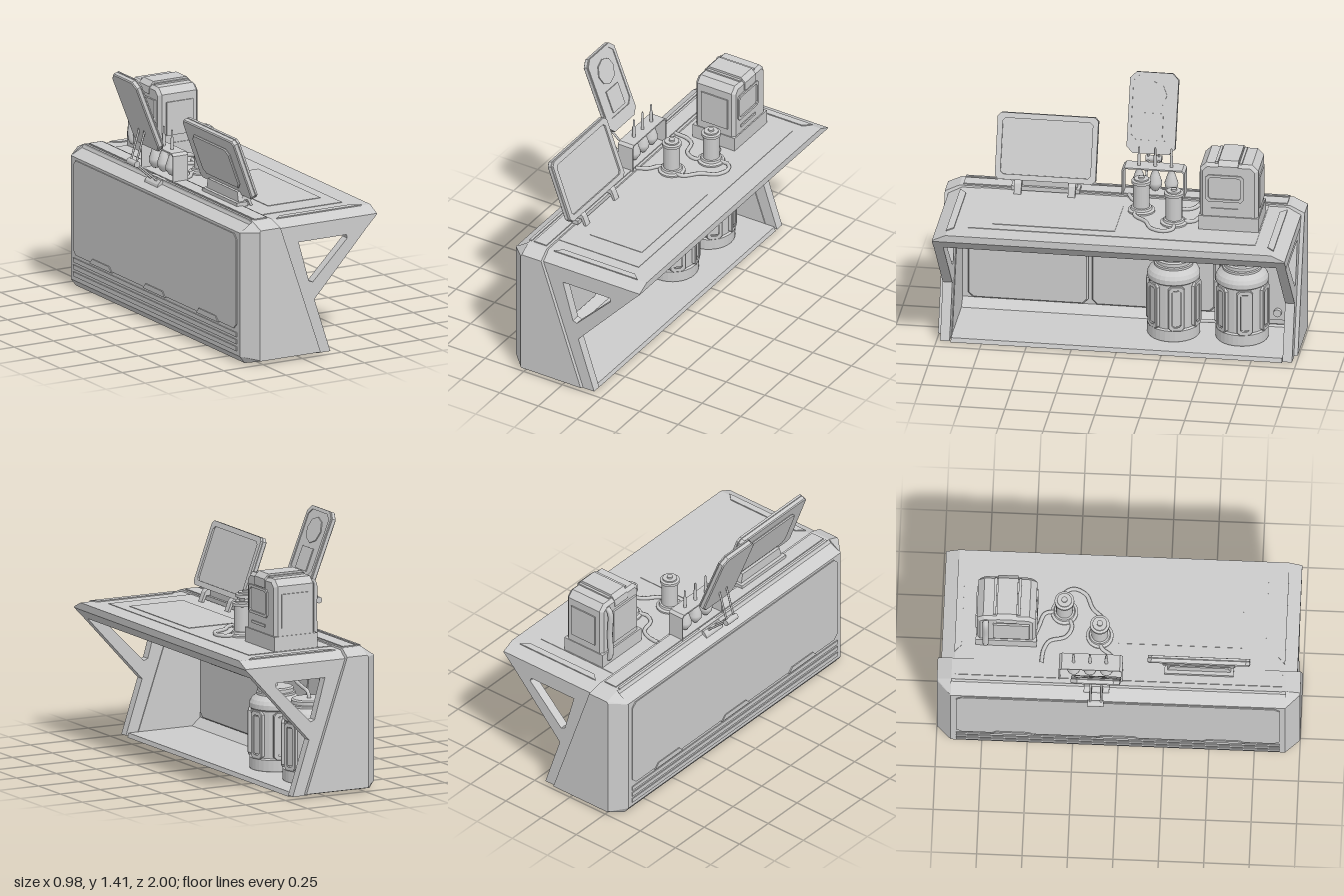
import * as THREE from 'three';

const mat = new THREE.MeshStandardMaterial({ color: 0xcccccc, side: THREE.DoubleSide });
const flat = new THREE.MeshStandardMaterial({ color: 0xcccccc, flatShading: true, side: THREE.DoubleSide });

function add(parent, name, geo, m = flat) {
  const mesh = new THREE.Mesh(geo, m);
  mesh.name = name;
  parent.add(mesh);
  return mesh;
}
function group(parent, name, x = 0, y = 0, z = 0) {
  const g = new THREE.Group();
  g.name = name;
  g.position.set(x, y, z);
  parent.add(g);
  return g;
}
const box = (x0, x1, y0, y1, z0, z1) =>
  new THREE.BoxGeometry(x1 - x0, y1 - y0, z1 - z0).translate((x0 + x1) / 2, (y0 + y1) / 2, (z0 + z1) / 2);
const toShape = (pts, holes = []) => {
  const s = new THREE.Shape(pts.map(p => new THREE.Vector2(...p)));
  s.holes = holes.map(h => new THREE.Path(h.map(p => new THREE.Vector2(...p))));
  return s;
};
// outline in (x, y), extruded along z
const prismZ = (pts, z0, z1, holes) =>
  new THREE.ExtrudeGeometry(toShape(pts, holes), { depth: z1 - z0, bevelEnabled: false }).translate(0, 0, z0);
// outline in (z, y), extruded along x with an optional chamfer
const prismX = (pts, x0, x1, holes = [], bevel = 0) => {
  const flip = l => l.map(([z, y]) => [-z, y]);
  return new THREE.ExtrudeGeometry(toShape(flip(pts), holes.map(flip)), {
    depth: x1 - x0 - 2 * bevel, bevelEnabled: bevel > 0, bevelSize: bevel, bevelOffset: -bevel,
    bevelThickness: bevel, bevelSegments: 1,
  }).rotateY(Math.PI / 2).translate(x0 + bevel, 0, 0);
};
// rectangle with cut corners
const cutRect = (a0, a1, b0, b1, c) => [[a0 + c, b0], [a1 - c, b0], [a1, b0 + c], [a1, b1 - c],
  [a1 - c, b1], [a0 + c, b1], [a0, b1 - c], [a0, b0 + c]];
// solid between two matching counter-clockwise outlines, z0 < z1
function loft(a, z0, b, z1) {
  const pos = [], n = a.length;
  const tri = (...v) => v.forEach(p => pos.push(...p));
  const A = a.map(p => [...p, z0]), B = b.map(p => [...p, z1]);
  for (let i = 0; i < n; i++) {
    const j = (i + 1) % n;
    tri(A[i], A[j], B[j], A[i], B[j], B[i]);
    if (i > 0 && i < n - 1) tri(A[0], A[i + 1], A[i], B[0], B[i], B[i + 1]);
  }
  const g = new THREE.BufferGeometry();
  g.setAttribute('position', new THREE.Float32BufferAttribute(pos, 3));
  g.computeVertexNormals();
  return g;
}
const mirrorLoft = (s, a, z0, b, z1) => s > 0 ? loft(a, z0, b, z1) : loft(b, -z1, a, -z0);
const tube = (pts, r) => new THREE.TubeGeometry(
  new THREE.CatmullRomCurve3(pts.map(p => new THREE.Vector3(...p))), 32, r, 8);
const lathe = (pts, n = 32) => {
  const g = new THREE.LatheGeometry(pts.map(p => new THREE.Vector2(...p)), n).toNonIndexed();
  return g;
};

function buildBench(root) {
  const g = group(root, 'bench');
  // cabinet: back wall, floor and top as one section
  add(g, 'cabinetShell', prismZ([[-.35, .05], [-.32, .01], [.185, .01], [.178, .035], [-.22, .035], [-.27, .08],
    [-.27, .69], [-.115, .69], [-.15, .81], [-.27, .81], [-.28, .79], [-.35, .755]], -.92, .92));
  const full = [[-.35, .05], [-.32, .01], [.125, .01], [-.15, .81], [-.27, .81], [-.35, .755]];
  const cut = [[-.27, .035], [-.265, .03], [.118, .03], [-.138, .775], [-.262, .775], [-.27, .765]];
  const topFull = [[-.16, .7], [.43, .7], [.488, .76], [.488, .8], [-.16, .8]];
  const topEnd = [[-.16, .7], [.43, .7], [.488, .76], [.488, .765], [-.16, .765]];
  const hole = [[-.01, .67], [.295, .67], [.3, .65], [.08, .43], [.055, .44]];
  for (const s of [1, -1]) {
    const z = (a, b) => s > 0 ? [a, b] : [-b, -a];
    add(g, 'cabinetEnd', mirrorLoft(s, full, .92, cut, 1));
    add(g, 'sideBracket', prismZ([[-.14, .74], [.468, .74], [.09, .33], [.192, .02], [.1, .02]], ...z(.925, .978), [hole]));
    add(g, 'worktopBevel', mirrorLoft(s, topFull, .905, topEnd, .98));
    // raised trim near each worktop end
    const trim = prismZ([[-.11, .91], [.43, .91], [.39, .872], [-.07, .872]], 0, .006).rotateX(Math.PI / 2);
    if (s < 0) trim.rotateX(Math.PI);
    add(g, 'endTrim', trim.translate(0, s > 0 ? .806 : .8, 0));
    add(g, 'undersidePanel', box(-.06, .39, .692, .702, ...z(.03, .87)));
  }
  add(g, 'worktop', prismZ(topFull, -.905, .905));
  add(g, 'workMat', box(-.15, .37, .8, .803, -.8, .8));
  add(g, 'deskScreen', box(-.025, .31, .8, .806, -.01, .67));
  add(g, 'topRail', box(-.245, -.165, .81, .816, -.9, .9));
  add(g, 'rearRail', box(-.275, -.26, .806, .816, -.9, .9));

  // rear cladding
  add(g, 'rearPanel', prismX(cutRect(-.89, .89, .2, .74, .03), -.356, -.345));
  for (let i = 0; i < 3; i++) add(g, 'rearRidge', box(-.356, -.345, .075 + i * .04, .1 + i * .04, -.89, .89));
  for (const z of [-.58, 0, .58]) add(g, 'rearTab', prismX([[z - .12, .195], [z + .12, .195], [z + .09, .225], [z - .09, .225]], -.362, -.35));

  // interior wall panels with pockets
  for (const [a, b] of [[.22, .89], [-.485, .2]]) {
    add(g, 'innerPanel', prismX(cutRect(a, b, .085, .69, .03), -.275, -.25, [], .008));
    const c = (a + b) / 2;
    add(g, 'wallPocket', prismX([[c - .25, .69], [c - .19, .41], [c + .19, .41], [c + .25, .69]], -.252, -.244));
  }
  add(g, 'locker', prismX(cutRect(-.91, -.51, .04, .69, .03), -.275, -.225, [], .012));
  add(g, 'lockerDoor', prismX(cutRect(-.9, -.52, .08, .48, .02), -.23, -.215));
  const knob = add(g, 'lockerKnob', new THREE.CylinderGeometry(.022, .022, .03, 16), mat);
  knob.position.set(-.205, .13, -.84);
  knob.rotation.z = Math.PI / 2;
}

function buildCanister(root, z) {
  const g = group(root, 'canister', -.085, 0, z);
  add(g, 'canisterBody', lathe([[0, .03], [.14, .03], [.146, .04], [.146, .1], [.136, .108], [.136, .37], [.146, .378],
    [.146, .405], [.135, .425], [.108, .45], [.108, .462], [.1, .466], [.1, .485], [.09, .492], [0, .492]]), flat);
  for (let i = 0; i < 6; i++) {
    const p = group(g, 'canisterRib');
    p.rotation.y = i * Math.PI / 3 + .25;
    add(p, 'ribFrame', prismX(cutRect(-.045, .045, .1, .37, .018), .12, .149, [cutRect(-.028, .028, .12, .35, .012)], .004));
    add(p, 'ribInset', box(.12, .143, .13, .34, -.022, .022));
  }
}

function buildJar(root, x, z) {
  const g = group(root, 'jar', x, .8, z);
  add(g, 'jarBase', lathe([[0, 0], [.075, 0], [.075, .012], [.06, .018], [.056, .03], [.046, .032], [.046, .17],
    [.054, .172], [.054, .188], [.04, .192], [.04, .2], [.016, .2], [.016, .21], [0, .21]]));
}

function buildMonitor(root) {
  const g = group(root, 'monitor', -.198, 1.045, .44);
  g.rotation.z = .35;
  add(g, 'monitorCase', prismX(cutRect(-.28, .28, -.185, .185, .02), -.02, .012, [], .006));
  add(g, 'monitorBezel', prismX(cutRect(-.28, .28, -.185, .185, .02), .01, .022, [cutRect(-.25, .25, -.155, .155, .015)]));
  add(g, 'monitorBack', prismX(cutRect(-.2, .2, -.13, .12, .03), -.032, -.018, [], .006));
  const s = group(root, 'monitorStand');
  add(s, 'standBase', box(-.2, -.13, .81, .835, .25, .63));
  add(s, 'standBlock', prismX([[.265, .83], [.615, .83], [.6, .89], [.28, .89]], -.18, -.145));
  for (const z of [.29, .59]) {
    add(s, 'standFoot', prismZ([[-.16, .84], [-.12, .84], [-.1, .8], [-.088, .805], [-.11, .86], [-.14, .885]], z - .02, z + .02));
  }
}

function buildTablet(root) {
  const g = group(root, 'tablet', -.393, 1.205, -.12);
  g.rotation.z = .376;
  add(g, 'tabletCase', prismX(cutRect(-.135, .135, -.225, .225, .035), -.018, .014, [], .006));
  add(g, 'tabletRim', prismX(cutRect(-.135, .135, -.225, .225, .035), .012, .019, [cutRect(-.115, .115, -.15, .205, .03)]));
  add(g, 'tabletDial', new THREE.CylinderGeometry(.075, .075, .008, 8).rotateZ(Math.PI / 2).translate(.016, .1, 0));
  add(g, 'tabletBar', box(.012, .02, -.13, .0, -.06, .06));
  const a = group(root, 'tabletArm');
  for (const z of [-.15, -.09]) {
    add(a, 'armRod', tube([[-.365, 1.1], [-.392, 1.01], [-.42, .92]].map(p => [...p, z]), .006), mat);
    add(a, 'armRod', tube([[-.42, .92], [-.35, .858], [-.28, .795]].map(p => [...p, z]), .006), mat);
  }
  add(a, 'armJoint', new THREE.CylinderGeometry(.018, .018, .09, 16).rotateX(Math.PI / 2).translate(-.422, .917, -.12), mat);
  add(a, 'armFoot', prismZ([[-.31, .77], [-.25, .8], [-.25, .815], [-.285, .812], [-.305, .79]], -.19, -.05));
}

function buildToolRack(root) {
  const g = group(root, 'toolRack');
  // bent sheet shaped like an arch
  const arch = [[.02, .81], [.02, .96], [.005, .975], [-.315, .975], [-.33, .96], [-.33, .81],
    [-.322, .81], [-.322, .956], [-.312, .967], [.002, .967], [.012, .956], [.012, .81]];
  add(g, 'rackSheet', prismX(arch, -.25, -.155));
  for (const z of [-.07, -.16, -.25]) {
    const t = add(g, 'tool', lathe([[0, -.15], [.018, -.143], [.036, -.115], [.038, -.095], [.022, -.045], [.009, -.015],
      [.009, .06], [.006, .07], [.006, .105], [0, .115]], 16), mat);
    t.position.set(-.203, .975, z);
  }
}

function buildMachine(root) {
  const g = group(root, 'machine');
  const outline = [[-.79, .805], [-.465, .805], [-.465, 1.165], [-.5, 1.2], [-.755, 1.2], [-.79, 1.165]];
  add(g, 'machineCase', prismX(outline, -.055, .2, [], .018));
  add(g, 'machineBase', box(-.065, .207, .803, .885, -.795, -.46));
  add(g, 'windowFrame', prismX(cutRect(-.71, -.5, .975, 1.135, .015), .195, .208, [cutRect(-.695, -.515, .99, 1.12, .012)]));
  add(g, 'frontSlot', box(.2, .206, .92, .935, -.68, -.53));
  // strap over the top
  add(g, 'topStrap', prismZ([[-.06, 1.15], [-.055, 1.19], [-.03, 1.217], [.18, 1.217], [.207, 1.19], [.207, 1.14],
    [.195, 1.14], [.195, 1.18], [.175, 1.2], [-.02, 1.2], [-.045, 1.18], [-.045, 1.15]], -.68, -.57));
  for (const z of [-.7, -.565]) add(g, 'strapRib', box(-.03, .185, 1.195, 1.208, z, z + .015));
  add(g, 'sidePipe', tube([[-.05, 1.17, -.74], [-.072, 1.15, -.74], [-.072, 1, -.74], [-.072, .85, -.74], [-.05, .83, -.74]], .016), mat);
  add(g, 'sidePanel', box(-.066, -.05, .92, 1.13, -.7, -.5));
  for (const [z0, z1] of [[-.468, -.458], [-.797, -.787]]) add(g, 'endPanel', box(-.01, .16, .93, 1.12, z0, z1));
}

export function createModel() {
  const root = new THREE.Group();
  root.name = 'workbench';
  buildBench(root);
  buildMonitor(root);
  buildTablet(root);
  buildToolRack(root);
  buildMachine(root);
  for (const z of [-.28, -.66]) buildCanister(root, z);
  buildJar(root, .015, -.115);
  buildJar(root, .145, -.315);

  // hoses on the worktop and under it
  const y = .812;
  const hoses = [
    [[.03, y, -.09], [.1, y, -.09], [.17, y, -.16], [.25, y, -.2], [.28, y, -.27], [.25, y, -.32], [.17, y, -.32]],
    [[0, y, -.12], [-.06, y, -.1], [-.1, y, -.05], [-.16, y, -.02]],
    [[.13, y, -.3], [.06, y, -.27], [.0, y, -.3], [-.03, y, -.39], [-.08, y, -.42], [-.16, y, -.43]],
    [[-.02, y, -.48], [.06, y, -.45], [.13, y, -.42], [.145, y, -.33]],
    [[-.085, .48, -.28], [-.085, .52, -.27], [-.09, .54, -.18], [-.1, .56, -.06], [-.11, .62, -.01], [-.11, .7, 0]],
    [[-.085, .48, -.66], [-.085, .52, -.65], [-.09, .54, -.57], [-.1, .56, -.48], [-.11, .62, -.445], [-.11, .7, -.44]],
    [[-.1, .06, -.28], [-.18, .06, -.4], [-.18, .06, -.54], [-.1, .06, -.66]],
  ];
  hoses.forEach(p => add(root, 'hose', tube(p, .011), mat));
  return root;
}
